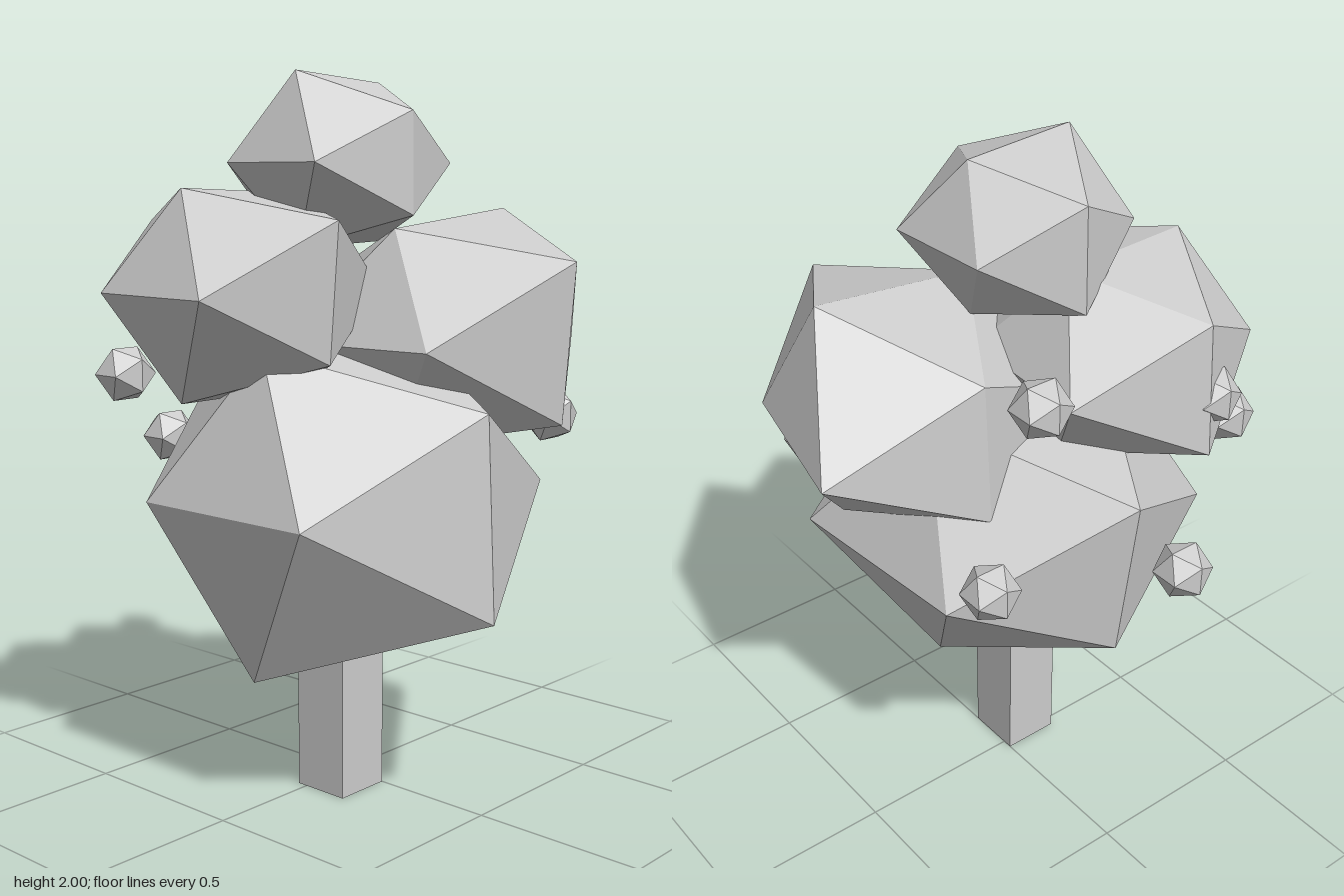
import * as THREE from 'three';

const grey = new THREE.MeshStandardMaterial({ color: 0xcccccc });
grey.name = 'pale grey';

// Corner number (0-11) of a unit icosahedron, found from the signs of its coordinates
function cornerIndex(x, y, z) {
  if (Math.abs(z) < 0.01) return (x > 0 ? 1 : 0) + (y > 0 ? 0 : 2);
  if (Math.abs(x) < 0.01) return 4 + (y > 0 ? 1 : 0) + (z > 0 ? 0 : 2);
  return 8 + (z > 0 ? 1 : 0) + (x > 0 ? 0 : 2);
}

// Irregular foliage clump: each icosahedron corner gets its own radius, then it is squashed in y
function clumpGeometry(radii, squash) {
  const geo = new THREE.IcosahedronGeometry(1, 0);
  const pos = geo.attributes.position;
  for (let i = 0; i < pos.count; i++) {
    const x = pos.getX(i), y = pos.getY(i), z = pos.getZ(i);
    const r = radii[cornerIndex(x, y, z)];
    pos.setXYZ(i, x * r, y * r * squash, z * r);
  }
  geo.computeVertexNormals();
  return geo;
}

export function createModel() {
  const tree = new THREE.Group();
  tree.name = 'tree';

  const add = (name, geo, at) => {
    const mesh = new THREE.Mesh(geo, grey);
    mesh.name = name;
    mesh.position.set(...at);
    tree.add(mesh);
  };

  // Square trunk, running up into the lowest clump
  add('trunk', new THREE.BoxGeometry(0.17, 0.62, 0.17), [-0.085, 0.31, 0.055]);

  // Foliage clumps: centre and the radius of each corner
  const clumps = [
    ['lowerFoliage', [-0.085, 0.86, 0.055],
      [0.58, 0.58, 0.656, 0.544, 0.636, 0.604, 0.54, 0.62, 0.546, 0.605, 0.546, 0.544]],
    ['backFoliage', [-0.31, 1.425, -0.115],
      [0.38, 0.36, 0.4, 0.4, 0.4, 0.436, 0.44, 0.41, 0.428, 0.4, 0.37, 0.386]],
    ['frontFoliage', [0.2, 1.28, 0.2],
      [0.43, 0.496, 0.4, 0.41, 0.47, 0.511, 0.47, 0.443, 0.515, 0.386, 0.47, 0.426]],
    ['topFoliage', [-0.085, 1.765, 0.055],
      [0.329, 0.302, 0.31, 0.297, 0.305, 0.3, 0.338, 0.33, 0.29, 0.316, 0.312, 0.343]],
  ];
  for (const [name, at, radii] of clumps) add(name, clumpGeometry(radii, 0.85), at);

  // Small round fruit around the crown
  const fruit = new THREE.IcosahedronGeometry(0.083, 0);
  const spots = [
    [-0.165, 0.96, -0.565], [0.35, 1.07, 0.455], [0.32, 0.985, -0.35],
    [0.2, 1.525, -0.4], [-0.36, 1.37, -0.43], [-0.53, 1.2, -0.33],
  ];
  spots.forEach((at, i) => add('fruit' + (i + 1), fruit, at));

  return tree;
}
